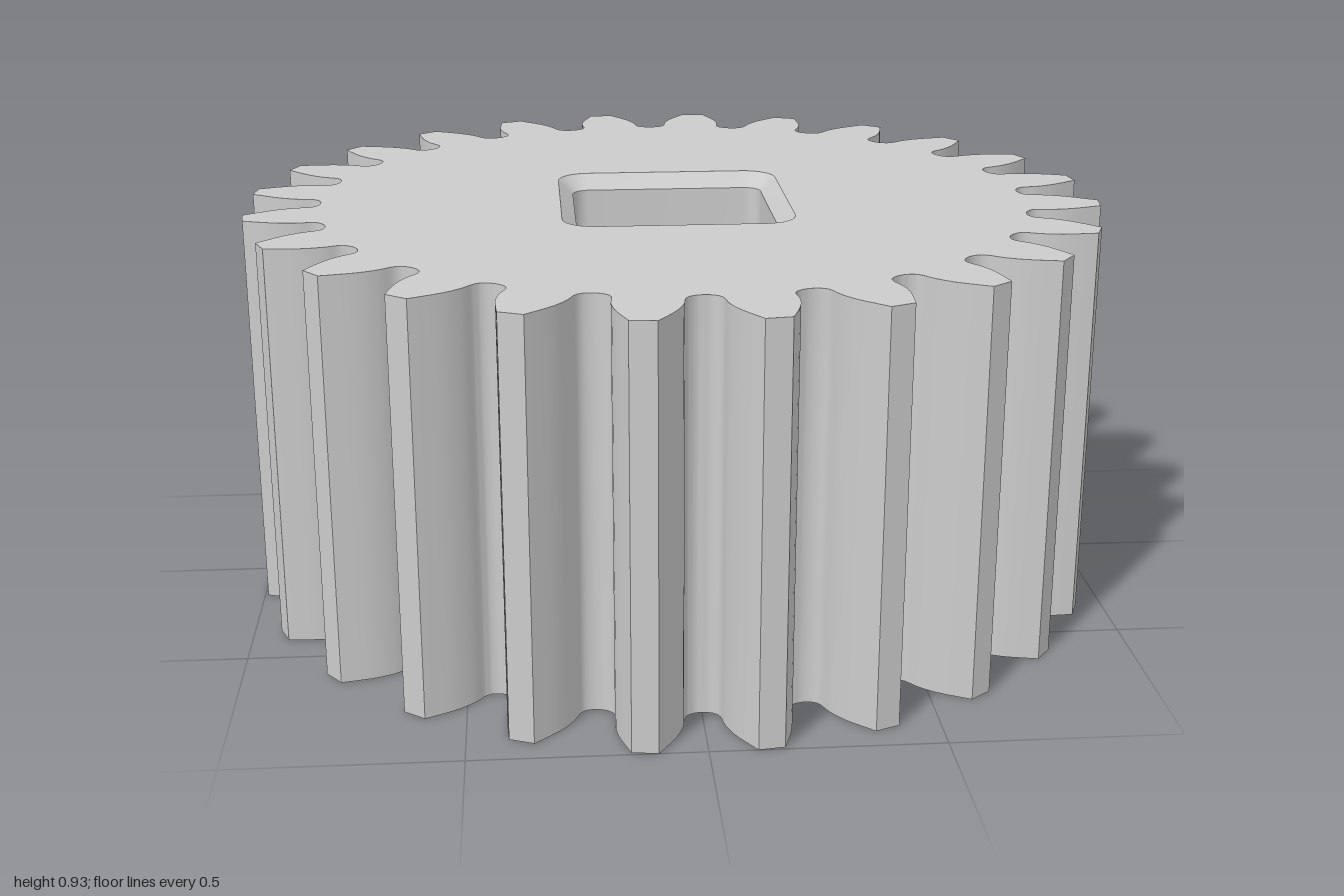
import * as THREE from 'three';
import { mergeGeometries, toCreasedNormals } from 'three/addons/utils/BufferGeometryUtils.js';

const TEETH = 24;
const HEIGHT = 0.93;
const CHAMFER = 0.035;

// Half of one tooth gap: [sideways offset, distance from the axis]
const HALF_GAP = [
  [0.015, 0.832], [0.03, 0.84], [0.038, 0.853], [0.041, 0.87],
  [0.045, 0.893], [0.06, 0.932], [0.083, 0.97], [0.103, 1.0],
];

// Closed counter-clockwise gear outline: one smooth gap per tooth, straight tips
function gearOutline() {
  const right = HALF_GAP.map(([t, r]) => new THREE.Vector2(r, t));
  const left = HALF_GAP.map(([t, r]) => new THREE.Vector2(r, -t)).reverse();
  const gap = new THREE.SplineCurve([...left, new THREE.Vector2(0.83, 0), ...right]).getPoints(32);
  const origin = new THREE.Vector2();
  const points = [];
  for (let k = 0; k < TEETH; k++) {
    const angle = (k / TEETH) * Math.PI * 2;
    for (const p of gap) points.push(p.clone().rotateAround(origin, angle));
  }
  return points;
}

// Counter-clockwise square with rounded corners
function roundedSquare(half, radius, steps = 8) {
  const points = [];
  for (let c = 0; c < 4; c++) {
    const mid = Math.PI / 4 + (c * Math.PI) / 2;
    const cx = Math.sign(Math.cos(mid)) * (half - radius);
    const cy = Math.sign(Math.sin(mid)) * (half - radius);
    for (let i = 0; i <= steps; i++) {
      const a = ((c + i / steps) * Math.PI) / 2;
      points.push(new THREE.Vector2(cx + radius * Math.cos(a), cy + radius * Math.sin(a)));
    }
  }
  return points;
}

// Wall through [loop, y] levels; rising levels face outward, falling ones inward
function wall(levels) {
  const positions = [];
  for (let l = 0; l < levels.length - 1; l++) {
    const [a, ya] = levels[l];
    const [b, yb] = levels[l + 1];
    for (let i = 0; i < a.length; i++) {
      const j = (i + 1) % a.length;
      const a0 = [a[i].x, ya, -a[i].y], a1 = [a[j].x, ya, -a[j].y];
      const b0 = [b[i].x, yb, -b[i].y], b1 = [b[j].x, yb, -b[j].y];
      positions.push(...a0, ...a1, ...b1, ...a0, ...b1, ...b0);
    }
  }
  const geometry = new THREE.BufferGeometry();
  geometry.setAttribute('position', new THREE.Float32BufferAttribute(positions, 3));
  return toCreasedNormals(geometry, 0.5);
}

export function createModel() {
  const group = new THREE.Group();
  group.name = 'spurGear';
  const material = new THREE.MeshStandardMaterial({ color: 0xcccccc });
  const add = (name, geometry) => {
    const mesh = new THREE.Mesh(geometry, material);
    mesh.name = name;
    group.add(mesh);
  };

  const outline = gearOutline();
  const mouth = roundedSquare(0.268, 0.075);
  const bore = roundedSquare(0.268 - CHAMFER, 0.04);

  // Toothed rim
  add('teeth', wall([[outline, 0], [outline, HEIGHT]]));

  // Square shaft hole with a chamfer at both ends
  add('shaftHole', wall([
    [mouth, HEIGHT], [bore, HEIGHT - CHAMFER], [bore, CHAMFER], [mouth, 0],
  ]));

  // Flat top and bottom faces
  const shape = new THREE.Shape(outline);
  shape.holes.push(new THREE.Path(mouth));
  const top = new THREE.ShapeGeometry(shape).rotateX(-Math.PI / 2).translate(0, HEIGHT, 0);
  const bottom = new THREE.ShapeGeometry(shape).rotateX(Math.PI / 2);
  add('endFaces', mergeGeometries([top, bottom]));

  return group;
}
